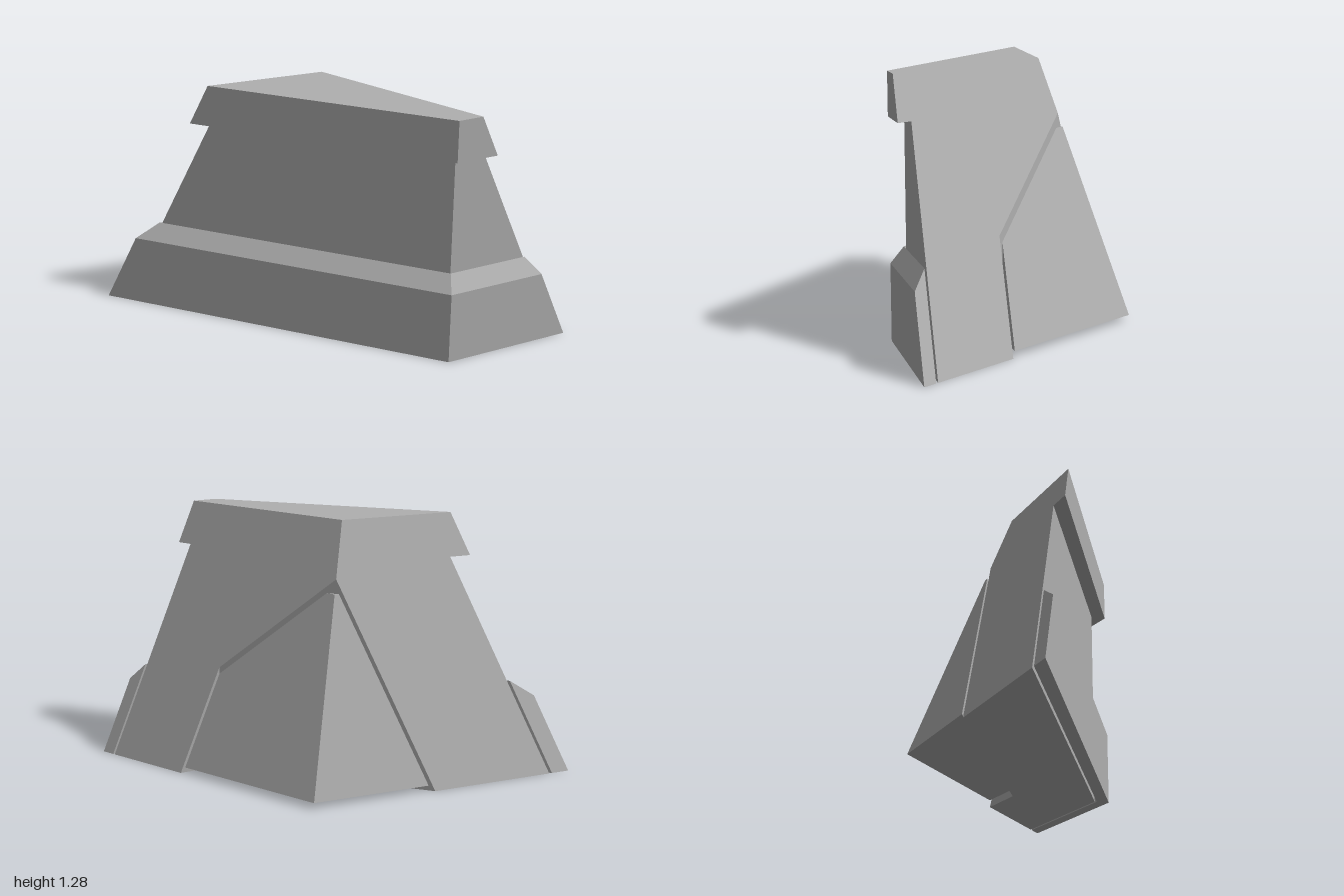
import * as THREE from 'three';
import { ConvexGeometry } from 'three/addons/geometries/ConvexGeometry.js';

const V = (x, y, z) => new THREE.Vector3(x, y, z);
const HEIGHT = 1.285;
const INSIDE = V(0.1, 0.4, -0.1);

// Plane through three points, facing the inside of the block
function inward(a, b, c) {
  const plane = new THREE.Plane().setFromCoplanarPoints(a, b, c);
  return plane.distanceToPoint(INSIDE) < 0 ? plane.negate() : plane;
}

// Corner points at the base and at the top
const leftBase = V(-1, 0, 0.665), cornerBase = V(0.742, 0, -0.056), backBase = V(1, 0, -0.67);
const leftTop = V(-0.41, HEIGHT, 0.421), backTop = V(0.79, HEIGHT, -0.17), ridgeTop = V(-0.14, HEIGHT, -0.09);
const cornerTop = cornerBase.clone().setY(HEIGHT);

// Two upright outer walls and two sloping cut faces
const front = inward(leftBase, cornerBase, cornerTop);
const right = inward(cornerBase, backBase, cornerTop);
const leftSlope = inward(leftBase, leftTop, ridgeTop);
const backSlope = inward(backBase, backTop, ridgeTop);

// Keep what lies deeper than d, or shallower than d, behind a wall
const deeper = (p, d) => new THREE.Plane(p.normal.clone(), p.constant - d);
const shallower = (p, d) => deeper(p, d).negate();
const levels = (y0, y1) => [new THREE.Plane(V(0, 1, 0), -y0), new THREE.Plane(V(0, -1, 0), y1)];

// Convex stone bounded by the two slopes and the given planes
function stoneGeometry(planes) {
  const all = [leftSlope, backSlope, ...planes];
  const points = [];
  for (let i = 0; i < all.length; i++)
    for (let j = i + 1; j < all.length; j++)
      for (let k = j + 1; k < all.length; k++) {
        const [a, b, c] = [all[i], all[j], all[k]];
        const bc = b.normal.clone().cross(c.normal);
        const det = a.normal.dot(bc);
        if (Math.abs(det) < 1e-6) continue;
        const p = bc.multiplyScalar(-a.constant)
          .addScaledVector(c.normal.clone().cross(a.normal), -b.constant)
          .addScaledVector(a.normal.clone().cross(b.normal), -c.constant)
          .divideScalar(det);
        if (all.every(q => q.distanceToPoint(p) > -1e-6) && !points.some(q => q.distanceTo(p) < 1e-5)) points.push(p);
      }
  return new ConvexGeometry(points);
}

export function createModel() {
  const model = new THREE.Group();
  const stone = new THREE.MeshStandardMaterial({ color: 0xb0b0b0 });
  stone.name = 'grey stone';

  function add(name, planes) {
    const mesh = new THREE.Mesh(stoneGeometry(planes), stone);
    mesh.name = name;
    model.add(mesh);
  }

  // Overhanging cap
  add('cap', [deeper(front, 0), deeper(right, 0), ...levels(1.075, HEIGHT)]);

  // Recessed wall, two arms around the corner
  const wallOut = 0.07, wallIn = 0.475;
  add('frontWall', [deeper(front, wallOut), shallower(front, wallIn), deeper(right, wallOut), ...levels(0, 1.075)]);
  add('rightWall', [deeper(front, wallIn), deeper(right, wallOut), shallower(right, wallIn), ...levels(0, 1.075)]);

  // Chamfered plinth with a narrow gap behind it
  const plinthIn = 0.06, chamferY = 0.38, slope = 0.065 / 0.09;
  const chamfers = [front, right].map(p =>
    new THREE.Plane(p.normal.clone().addScaledVector(V(0, 1, 0), -slope), p.constant + slope * chamferY).normalize());
  const plinth = [deeper(right, 0), ...chamfers, ...levels(0, 0.47)];
  add('frontPlinth', [deeper(front, 0), shallower(front, plinthIn), ...plinth]);
  add('rightPlinth', [deeper(front, plinthIn), shallower(right, plinthIn), ...plinth]);

  // Inner corner fill, slightly raised and set off by a gap
  add('innerFill', [deeper(front, 0.488), deeper(right, 0.488), ...levels(0.03, 0.95)]);

  return model;
}
